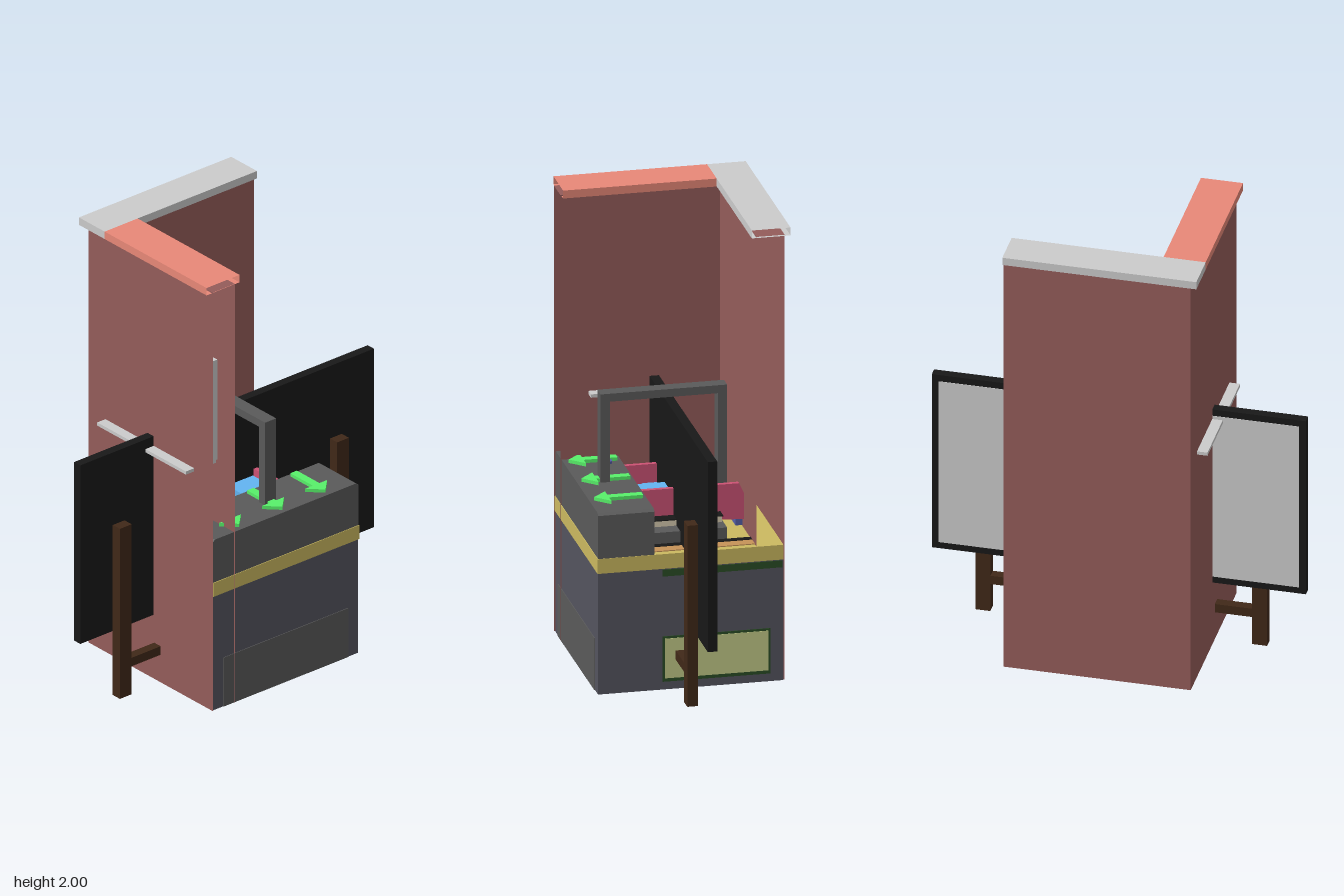
import * as THREE from 'three';

const C = {
  grey: 0xcccccc, brick: 0x945c5a, salmon: 0xe88878, black: 0x181818, dark: 0x5a5a5a,
  slate: 0x54545f, brown: 0x402818, yellow: 0xcbb960, orange: 0xc69358, olive: 0xc4cc88,
  green: 0x2a4d26, arrow: 0x58f06a, pink: 0xcc5274, blue: 0x62b4f2, violet: 0x5560a8,
  beige: 0xd8ccb0, red: 0xe0503a,
};

const material = (color, side = THREE.FrontSide) =>
  new THREE.MeshStandardMaterial({ color, side, flatShading: true });

export function createModel() {
  const model = new THREE.Group();

  const add = (name, geometry, color, side) => {
    const mesh = new THREE.Mesh(geometry, material(color, side));
    mesh.name = name;
    model.add(mesh);
    return mesh;
  };

  // Box given by its limits on each axis
  const box = (name, color, [x0, x1], [y0, y1], [z0, z1]) => {
    const mesh = add(name, new THREE.BoxGeometry(x1 - x0, y1 - y0, z1 - z0), color);
    mesh.position.set((x0 + x1) / 2, (y0 + y1) / 2, (z0 + z1) / 2);
    return mesh;
  };

  // Hollow box without the faces listed (0 +x, 1 -x, 2 +y, 3 -y, 4 +z, 5 -z)
  const openBox = (name, color, x, y, z, missing) => {
    const mesh = box(name, color, x, y, z);
    const index = Array.from(mesh.geometry.index.array);
    mesh.geometry.setIndex(index.filter((_, i) => !missing.includes(Math.floor(i / 6))));
    mesh.geometry.clearGroups();
    mesh.material.side = THREE.DoubleSide;
    return mesh;
  };

  // Two tall walls in an L, hollow at their free ends
  openBox('sideWall', C.brick, [-0.4, -0.28], [0, 1.97], [-0.39, 0.41], [3, 4]);
  openBox('backWall', C.brick, [-0.28, 0.4], [0, 1.97], [-0.39, -0.27], [0, 1, 3]);
  openBox('sideWallCap', C.salmon, [-0.43, -0.25], [1.965, 2], [-0.25, 0.405], [4, 5]);
  openBox('backWallCap', C.grey, [-0.43, 0.4], [1.965, 2], [-0.415, -0.25], [0]);

  // Window core inside the side wall, with its sill on both sides
  box('windowFrame', C.grey, [-0.398, -0.282], [1.1, 1.57], [-0.28, 0.3]);
  for (const x of [-0.36, -0.325])
    box('windowGroove', C.dark, [x - 0.005, x + 0.005], [1.1, 1.57], [0.299, 0.303]);
  box('windowSill', C.grey, [-0.445, -0.235], [1.08, 1.095], [-0.28, 0.29]);

  // Base cabinet
  box('cabinet', C.slate, [-0.395, 0.395], [0, 0.535], [-0.385, 0.405]);
  box('frontPanel', C.dark, [-0.34, 0.34], [0, 0.23], [0.3, 0.408]);
  box('cabinetFloor', C.green, [-0.34, 0.34], [-0.002, 0.01], [-0.33, 0.35]);
  box('hatchFrame', C.green, [0.38, 0.398], [0.035, 0.235], [-0.33, 0.13]);
  box('hatch', C.olive, [0.38, 0.4], [0.05, 0.225], [-0.32, 0.12]);
  box('sideRail', C.green, [0.38, 0.398], [0.5, 0.53], [-0.38, 0.13]);

  // Work surface and front counter
  box('worktop', C.yellow, [-0.395, 0.4], [0.535, 0.6], [-0.385, 0.408]);
  box('worktopInlay', C.orange, [0.32, 0.37], [0.59, 0.604], [-0.27, 0.165]);
  box('worktopEdge', C.black, [0.29, 0.32], [0.59, 0.606], [-0.27, 0.165]);

  const counterSide = new THREE.Shape([
    [-0.395, 0.6], [0.398, 0.6], [0.398, 0.79], [0.385, 0.8], [-0.385, 0.8], [-0.395, 0.79],
  ].map(([x, y]) => new THREE.Vector2(x, y)));
  add('counter', new THREE.ExtrudeGeometry(counterSide, { depth: 0.24, bevelEnabled: false }), C.dark)
    .position.z = 0.165;

  // Equipment tray behind the counter
  box('trayBase', C.dark, [-0.28, 0.29], [0.6, 0.655], [-0.17, 0.165]);
  box('trayRim', C.beige, [-0.235, 0.22], [0.655, 0.68], [-0.165, 0.165]);
  box('trayTop', C.black, [-0.235, 0.22], [0.679, 0.683], [-0.17, 0.165]);
  box('pad', C.blue, [0.0, 0.14], [0.68, 0.77], [-0.11, 0.165]);
  box('padBand', C.violet, [0.0, 0.141], [0.72, 0.772], [-0.05, -0.03]);
  box('smallPad', C.blue, [-0.06, -0.03], [0.68, 0.75], [0.05, 0.11]);
  box('bumper', C.violet, [-0.14, 0.14], [0.605, 0.64], [-0.3, -0.24]);
  const button = add('button', new THREE.CylinderGeometry(0.02, 0.02, 0.03, 12), C.red);
  button.position.set(0.085, 0.7, -0.14);

  // Tray side panels with a sloped rear end
  const panel = new THREE.Shape([
    [-0.165, 0.66], [0.28, 0.64], [0.3, 0.66], [0.295, 0.7], [0.25, 0.8], [-0.165, 0.8],
  ].map(([x, y]) => new THREE.Vector2(x, y)));
  for (const x of [-0.165, 0.145]) {
    const side = add('traySide', new THREE.ExtrudeGeometry(panel, { depth: 0.02, bevelEnabled: false }), C.pink);
    side.rotation.y = Math.PI / 2;
    side.position.x = x;
  }

  // Arch over the counter
  box('archTop', C.dark, [-0.03, 0.03], [1.155, 1.19], [-0.23, 0.31]);
  box('archFrontPost', C.dark, [-0.03, 0.03], [0.8, 1.155], [0.27, 0.31]);
  box('archRearPost', C.dark, [-0.03, 0.03], [0.6, 1.155], [-0.23, -0.19]);

  // Direction arrows on the counter
  const arrow = new THREE.Shape([
    [-0.018, -0.18], [-0.018, -0.325], [-0.06, -0.325], [0, -0.385],
    [0.06, -0.325], [0.018, -0.325], [0.018, -0.18],
  ].map(([x, y]) => new THREE.Vector2(x, y)));
  for (const x of [-0.235, 0, 0.235]) {
    const mesh = add('arrow', new THREE.ExtrudeGeometry(arrow, { depth: 0.016, bevelEnabled: false }), C.arrow);
    mesh.rotation.x = -Math.PI / 2;
    mesh.position.set(x, 0.799, 0);
  }
  const knob = add('knob', new THREE.CylinderGeometry(0.022, 0.022, 0.012, 16), C.violet);
  knob.position.set(-0.2, 0.805, 0.23);

  // Wide board with a light rear face
  box('board', C.black, [-0.8, 0.8], [0.3, 1.14], [-0.01, 0.03]);
  box('boardBack', C.grey, [-0.77, 0.77], [0.33, 1.11], [-0.012, 0]);

  // Board stand
  for (const s of [-1, 1]) {
    const x = s * 0.592;
    box('leg', C.brown, [x - 0.032, x + 0.032], [0, 0.8], [0.031, 0.077]);
  }
  box('crossbar', C.brown, [-0.56, 0.56], [0.13, 0.17], [0.033, 0.075]);

  return model;
}
